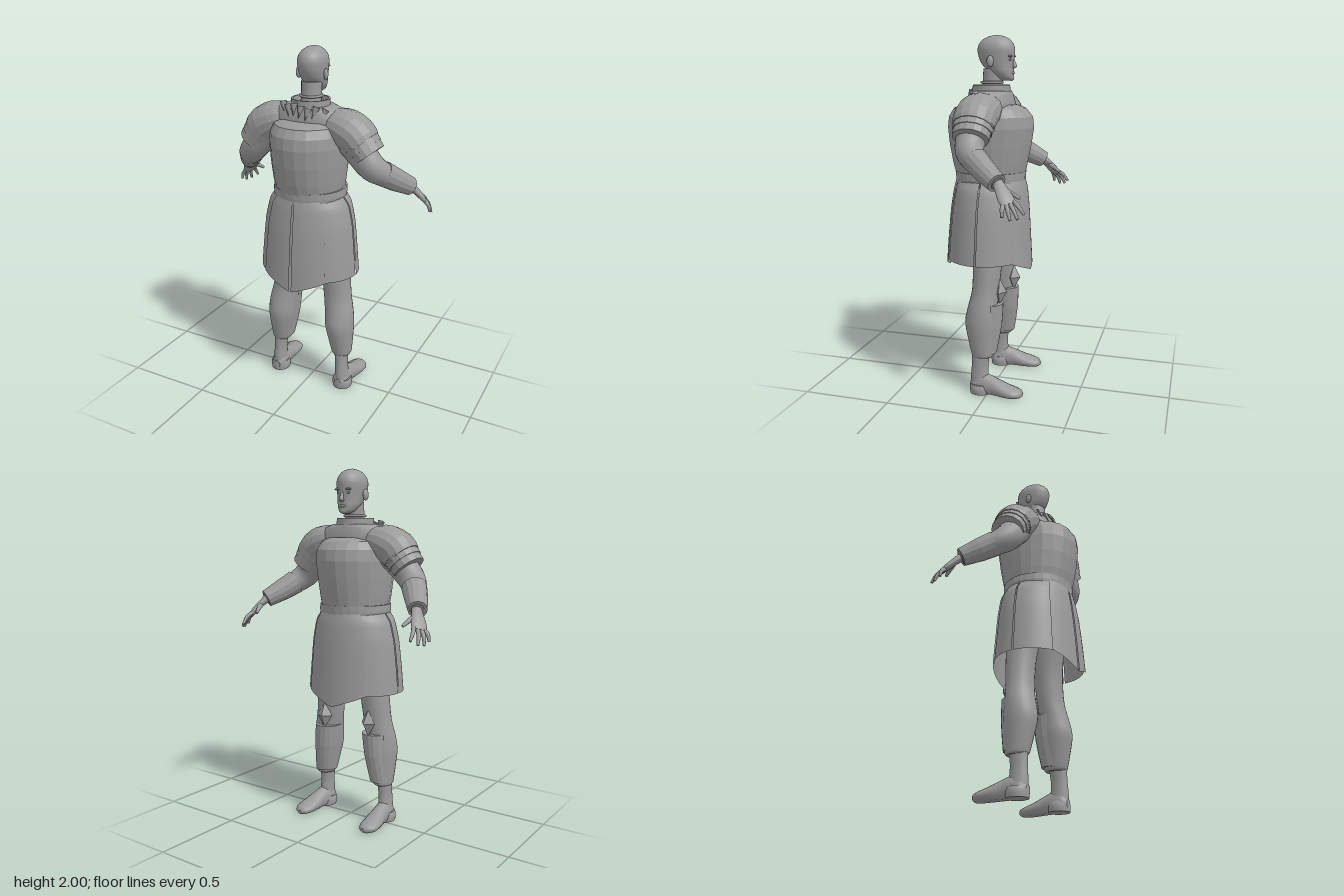
import * as THREE from 'three';

const armour = new THREE.MeshStandardMaterial({ color: 0x9a9a9a, side: THREE.DoubleSide });
armour.name = 'plain grey';
const V3 = (x, y, z) => new THREE.Vector3(x, y, z);
const DEG = Math.PI / 180;

function add(parent, name, geometry, pos = [0, 0, 0], scale = [1, 1, 1]) {
  const mesh = new THREE.Mesh(geometry, armour);
  mesh.name = name;
  mesh.position.set(...pos);
  mesh.scale.set(...scale);
  parent.add(mesh);
  return mesh;
}

// Skin elliptical sections [x, y, z, ra, rb] along a path; dir fixes the section plane
function loft(secs, { seg = 24, sub = 4, ref = V3(0, 0, 1), dir, from = 0, to = 360, flat, caps = true, shape } = {}) {
  const path = new THREE.CatmullRomCurve3(secs.map(s => V3(s[0], s[1], s[2])));
  const size = new THREE.CatmullRomCurve3(secs.map(s => V3(s[3], s[4] ?? s[3], 0)));
  const closed = to - from === 360, n = closed ? seg : seg + 1, rows = (secs.length - 1) * sub;
  const pos = [], index = [];
  for (let i = 0; i <= rows; i++) {
    const t = i / rows, c = path.getPoint(t), r = size.getPoint(t);
    const T = dir ?? path.getTangent(t);
    const V = ref.clone().addScaledVector(T, -ref.dot(T)).normalize();
    const U = V.clone().cross(T);
    for (let j = 0; j < n; j++) {
      const deg = from + (to - from) * j / seg, a = deg * DEG;
      const p = c.clone().addScaledVector(U, r.x * Math.cos(a)).addScaledVector(V, r.y * Math.sin(a));
      if (shape) shape(p, deg, t);
      pos.push(p.x, p.y, p.z);
    }
  }
  for (let i = 0; i < rows; i++) for (let j = 0; j < seg; j++) {
    const k = (j + 1) % n, a = i * n + j, b = i * n + k;
    index.push(a, b, a + n, b, b + n, a + n);
  }
  if (closed && caps) for (const row of [0, rows]) {
    const start = pos.length / 3, c = path.getPoint(row / rows);
    pos.push(...pos.slice(row * n * 3, (row + 1) * n * 3), c.x, c.y, c.z);
    for (let j = 0; j < n; j++) {
      const a = start + j, b = start + (j + 1) % n;
      index.push(...(row ? [a, b, start + n] : [b, a, start + n]));
    }
  }
  let g = new THREE.BufferGeometry();
  g.setAttribute('position', new THREE.Float32BufferAttribute(pos, 3));
  g.setIndex(index);
  if (flat) g = g.toNonIndexed();
  g.computeVertexNormals();
  return g;
}

const UP = V3(0, 1, 0), DOWN = V3(0, -1, 0);
// Upright body section: height, centre depth, half width, half depth
const body = rows => rows.map(([y, z, rx, rz]) => [0, y, z, rx, rz]);

function buildHead() {
  const head = new THREE.Group();
  head.name = 'head';
  add(head, 'neck', loft(body([[1.66, .045, .065, .06], [1.74, .035, .055, .055], [1.82, .03, .056, .056]]), { dir: UP }));
  add(head, 'skull', loft(body([[1.755, -.05, .02, .026], [1.77, -.04, .042, .045], [1.8, -.018, .06, .068],
    [1.84, .003, .07, .088], [1.88, .012, .076, .1], [1.92, .014, .079, .105], [1.95, .014, .073, .098],
    [1.978, .013, .054, .074], [1.993, .012, .03, .042], [2, .012, .004, .005]]), { dir: UP, seg: 32 }));
  const ball = new THREE.SphereGeometry(1, 16, 12);
  add(head, 'nose', loft([[0, 1.875, -.079, .007], [0, 1.85, -.088, .01], [0, 1.83, -.092, .015, .012], [0, 1.82, -.08, .008]], { dir: DOWN, seg: 12 }));
  add(head, 'lips', ball, [0, 1.797, -.08], [.022, .009, .012]);
  add(head, 'chin', ball, [0, 1.77, -.07], [.024, .016, .018]);
  for (const s of [-1, 1]) {
    add(head, 'ear', ball, [s * .081, 1.858, .025], [.012, .031, .019]).rotation.y = s * .3;
    add(head, 'brow', ball, [s * .03, 1.886, -.072], [.026, .007, .014]).rotation.y = s * .35;
    add(head, 'eye', ball, [s * .029, 1.867, -.07], [.013, .007, .011]);
  }
  return head;
}

function buildTorso() {
  const torso = new THREE.Group();
  torso.name = 'torso';
  add(torso, 'cuirass', loft(body([[1.19, .045, .185, .185], [1.3, .048, .2, .212], [1.4, .048, .209, .232],
    [1.5, .046, .215, .245], [1.56, .046, .211, .238], [1.605, .05, .19, .205], [1.625, .05, .15, .15]]),
    { dir: UP, seg: 22, sub: 1, flat: true }));
  add(torso, 'shoulderYoke', loft(body([[1.54, .04, .25, .12], [1.62, .04, .235, .125], [1.68, .04, .19, .115],
    [1.7, .04, .13, .11]]), { dir: UP }));
  // Flat-topped plates on the chest and back
  add(torso, 'belt', loft(body([[1.185, .045, .2, .195], [1.22, .045, .206, .198], [1.255, .045, .204, .2]]), { dir: UP, sub: 1, flat: true, seg: 28 }));
  const collar = [[.118, 1.65], [.106, 1.69], [.104, 1.732], [.094, 1.732], [.09, 1.65]].map(p => new THREE.Vector2(...p));
  add(torso, 'collar', new THREE.LatheGeometry(collar, 28).toNonIndexed(), [0, 0, .042]).geometry.computeVertexNormals();
  const ring = add(torso, 'neckRing', new THREE.TorusGeometry(.058, .007, 8, 28), [0, 1.745, .038]);
  ring.rotation.x = Math.PI / 2;
  // Ragged points hanging below the collar at the back
  for (let i = -3; i <= 3; i++) {
    const spike = add(torso, 'collarPoint', new THREE.ConeGeometry(.022, .07, 4), [i * .038, 1.675 - .01 * (i % 2), .165 - .004 * i * i], [1, 1, .4]);
    spike.rotation.set(Math.PI - .4, 0, i * .12);
  }
  return torso;
}

function buildSkirt() {
  const skirt = new THREE.Group();
  skirt.name = 'skirt';
  // Panel name, start angle, end angle, direction of the pointed hem
  const panels = [['backPanel', 50, 88.8, 90], ['backPanel', 91.2, 130, 90], ['frontPanel', 230, 310, 270],
    ['sidePanel', -54, -1], ['sidePanel', 1, 54], ['sidePanel', 126, 179], ['sidePanel', 181, 234]];
  for (const [name, from, to, tip] of panels) {
    const o = tip ? .007 : 0;
    const rows = body([[.76, .052, .29, .236], [.9, .051, .278, .226], [1.05, .048, .262, .214], [1.16, .045, .236, .2], [1.215, .045, .198, .187]]
      .map(([y, z, rx, rz]) => [y, z, rx + o, rz + o]));
    add(skirt, name, loft(rows, {
      dir: UP, from, to, seg: 14,
      shape: (p, deg, t) => { if (tip) p.y -= .072 * (1 - Math.abs(deg - tip) / 40) * (1 - t) ** 2; },
    }));
  }
  return skirt;
}

function buildArm() {
  const arm = new THREE.Group();
  arm.name = 'arm';
  add(arm, 'sleeve', loft([[.2, 1.58, .045, .09], [.29, 1.49, .055, .083], [.37, 1.4, .05, .074],
    [.44, 1.335, -.03, .058], [.515, 1.262, -.145, .036]]));
  add(arm, 'bracer', loft([[.41, 1.362, .005, .07, .068], [.46, 1.315, -.06, .064, .062], [.516, 1.265, -.14, .05, .052]], { seg: 14, sub: 1, flat: true }));
  add(arm, 'shoulderCap', loft([[.11, 1.625, .04, .06, .085], [.15, 1.615, .04, .082, .105], [.21, 1.595, .045, .103, .117],
    [.27, 1.562, .05, .108, .117], [.31, 1.518, .05, .1, .11]], { seg: 16, sub: 2, flat: true }));
  // Overlapping shoulder bands
  for (let i = 0; i < 3; i++) {
    const x = .27 + .025 * i, y = 1.562 - .03 * i, r = .106 - .007 * i;
    add(arm, 'shoulderBand', loft([[x, y, .05, r, r + .01], [x + .031, y - .038, .05, r - .003, r + .007]], { seg: 16, sub: 1, flat: true }));
  }
  // Hand: flat palm, four fingers and a thumb
  const across = V3(.68, -.32, .62);
  add(arm, 'palm', loft([[.51, 1.268, -.14, .024, .028], [.535, 1.235, -.17, .019, .035], [.56, 1.195, -.2, .017, .043], [.572, 1.172, -.218, .012, .038]], { ref: across, seg: 16 }));
  const tips = [[.565, 1.125, -.293], [.595, 1.105, -.268], [.612, 1.1, -.235], [.617, 1.115, -.195]];
  tips.forEach(([x, y, z], i) => {
    const k = (i - 1.5) * .02, b = [.567 + k * .68, 1.18 - k * .32, -.21 + k * .62];
    const m = [(b[0] + x) / 2 + .006, (b[1] + y) / 2 + .008, (b[2] + z) / 2];
    add(arm, 'finger', loft([[...b, .012], [...m, .011], [x, y, z, .007]], { seg: 10 }));
  });
  add(arm, 'thumb', loft([[.53, 1.235, -.175, .018], [.51, 1.215, -.215, .013], [.495, 1.19, -.252, .008]], { seg: 10, ref: UP }));
  return arm;
}

function buildLeg() {
  const leg = new THREE.Group();
  leg.name = 'leg';
  add(leg, 'trouser', loft([[.1, 1.15, .04, .09, .11], [.13, .92, .03, .088, .1], [.15, .76, .022, .084, .083], [.168, .6, .028, .082, .076],
    [.185, .5, .04, .084, .084], [.191, .42, .045, .084, .094], [.198, .31, .04, .07, .08], [.203, .23, .034, .058, .066], [.205, .218, .034, .05, .056]], { dir: DOWN }));
  add(leg, 'greave', loft([[.168, .525, .005, .076, .08], [.178, .4, .008, .072, .078], [.197, .24, .02, .061, .064]], { dir: DOWN, sub: 2, seg: 16, flat: true }));
  add(leg, 'kneePlate', new THREE.OctahedronGeometry(1), [.155, .59, -.05], [.05, .078, .042]).rotation.y = .15;
  add(leg, 'bootShaft', loft([[.206, .24, .045, .04, .052], [.21, .16, .05, .036, .048], [.212, .1, .05, .038, .052], [.214, .04, .045, .044, .058]], { dir: DOWN }));
  add(leg, 'bootFoot', loft([[.21, .04, .104, .02, .025], [.211, .045, .08, .042, .05], [.214, .05, .03, .046, .068], [.219, .045, -.03, .046, .056],
    [.226, .032, -.1, .055, .04], [.23, .025, -.155, .054, .03], [.228, .022, -.19, .037, .022], [.226, .02, -.205, .012, .01]],
    { dir: V3(0, 0, -1), ref: UP, shape: p => { p.y = Math.max(p.y, 0); } }));
  add(leg, 'heelGuard', loft([[.215, .0, .045, .056, .06], [.215, .03, .045, .06, .062], [.215, .055, .045, .052, .058]], { dir: UP, sub: 2 }));
  return leg;
}

export function createModel() {
  const model = new THREE.Group();
  model.name = 'armouredFigure';
  model.add(buildHead(), buildTorso(), buildSkirt());
  for (const side of [1, -1]) for (const build of [buildArm, buildLeg]) {
    const limb = build();
    limb.name = (side > 0 ? 'left' : 'right') + limb.name[0].toUpperCase() + limb.name.slice(1);
    limb.scale.x = side;
    model.add(limb);
  }
  return model;
}
